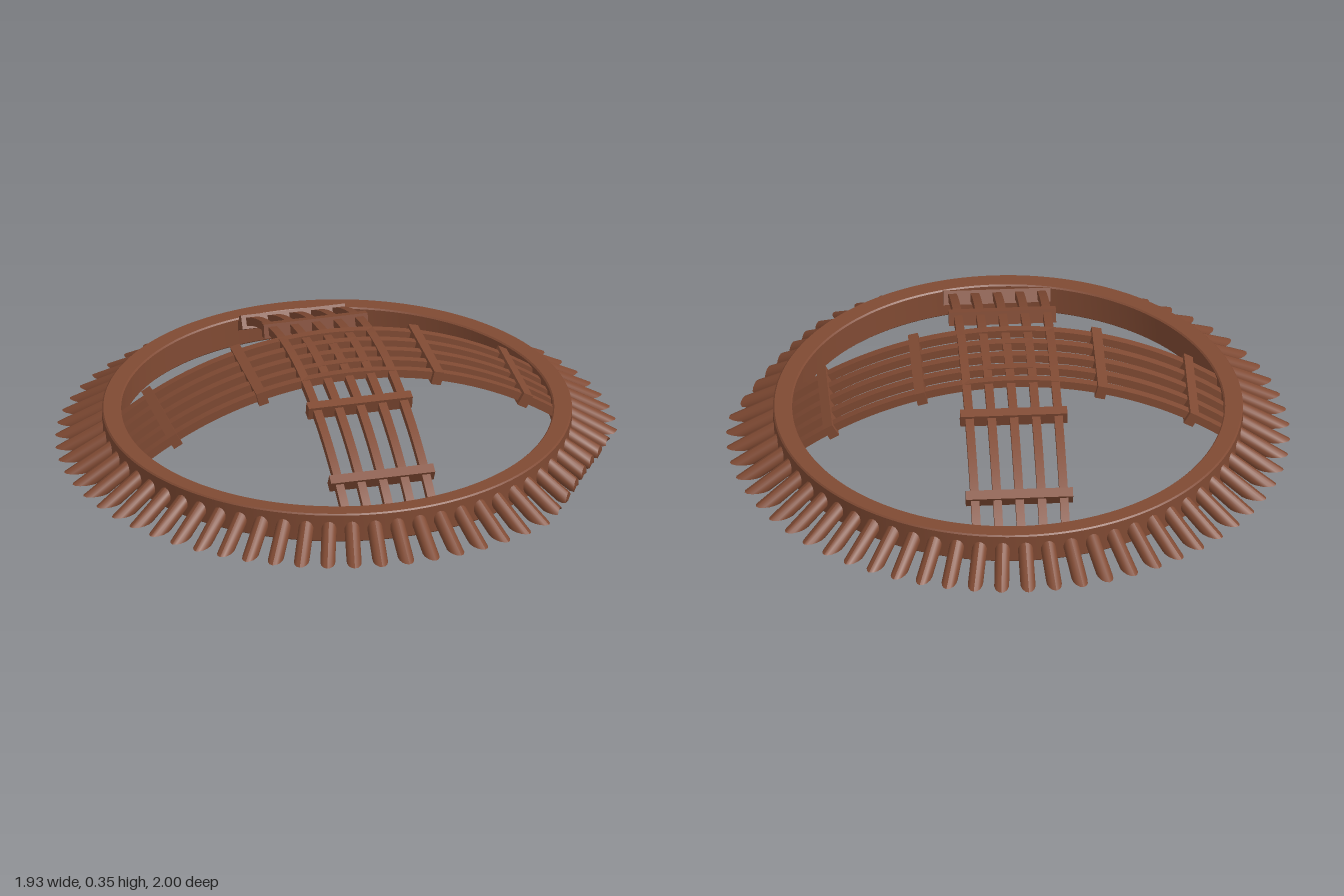
import * as THREE from 'three';
import { toCreasedNormals } from 'three/addons/utils/BufferGeometryUtils.js';

const CENTER_X = 0.035;      // ring centre
const CUT_X = 0.96;          // flat cut on the left-hand pegs
const ARC_R = 1.31, ARC_TOP = 0.352, SLAT = 0.03;
const material = new THREE.MeshStandardMaterial({ color: 0x804a33 });

function add(parent, name, geometry) {
  const mesh = new THREE.Mesh(geometry, material);
  mesh.name = name;
  parent.add(mesh);
  return mesh;
}

// Upright hoop with slightly eased edges
function ringGeometry() {
  const bevel = 0.005;
  const shape = new THREE.Shape().absarc(0, 0, 0.833 - bevel, 0, Math.PI * 2);
  shape.holes.push(new THREE.Path().absarc(0, 0, 0.765 + bevel, 0, Math.PI * 2, true));
  const g = new THREE.ExtrudeGeometry(shape, {
    depth: 0.11 - 2 * bevel, curveSegments: 96,
    bevelSize: bevel, bevelThickness: bevel, bevelSegments: 1,
  });
  g.rotateX(-Math.PI / 2).translate(0, 0.02 + bevel, 0);
  return toCreasedNormals(g, 0.5);
}

// Sloping round peg, its lower end sliced level with the ground
function pegGeometry(angle) {
  const slope = THREE.MathUtils.degToRad(31);
  const c = Math.cos(slope), s = Math.sin(slope);
  const out = new THREE.Vector3(Math.cos(angle), 0, Math.sin(angle));
  const side = new THREE.Vector3(out.z, 0, -out.x);
  const axis = out.clone().multiplyScalar(c).setY(-s);
  const normal = out.clone().multiplyScalar(s).setY(c);
  const start = out.clone().multiplyScalar(0.79).setY(0.095);
  const g = new THREE.CylinderGeometry(0.027, 0.027, 1, 14, 1);
  const pos = g.attributes.position;
  const p = new THREE.Vector3();
  for (let i = 0; i < pos.count; i++) {
    p.copy(start).addScaledVector(side, pos.getX(i)).addScaledVector(normal, pos.getZ(i));
    if (pos.getY(i) < 0) {
      let t = p.y / s;
      if (axis.x > 0.1) t = Math.min(t, (CUT_X - CENTER_X - p.x) / axis.x);
      p.addScaledVector(axis, t);
    }
    pos.setXYZ(i, p.x, p.y, p.z);
  }
  g.computeVertexNormals();
  return g;
}

// Curved slat along x, ending inside the hoop
function slatGeometry(offset) {
  const half = Math.asin(Math.sqrt(0.785 ** 2 - offset ** 2) / ARC_R);
  const a = Math.PI / 2 - half, b = Math.PI / 2 + half;
  const shape = new THREE.Shape();
  shape.absarc(0, 0, ARC_R, a, b, false);
  shape.absarc(0, 0, ARC_R - SLAT, b, a, true);
  const g = new THREE.ExtrudeGeometry(shape, { depth: SLAT, bevelEnabled: false, curveSegments: 32 });
  g.translate(0, ARC_TOP - ARC_R, offset - SLAT / 2);
  return toCreasedNormals(g, 0.5);
}

// Five slats tied together by four crossbars
function createArch() {
  const arch = new THREE.Group();
  for (let i = -2; i <= 2; i++) add(arch, 'slat', slatGeometry(i * 0.079));
  const r = ARC_R - SLAT / 2;
  for (const x of [-0.64, -0.32, 0.32, 0.64]) {
    const bar = add(arch, 'crossbar', new THREE.BoxGeometry(0.036, 0.05, 0.38));
    const tilt = Math.asin(x / r);
    bar.position.set(x, ARC_TOP - ARC_R + r * Math.cos(tilt), 0);
    bar.rotation.z = -tilt;
  }
  return arch;
}

export function createModel() {
  const model = new THREE.Group();
  model.name = 'archedRing';
  const body = new THREE.Group();
  body.name = 'body';
  body.position.x = CENTER_X;
  model.add(body);

  add(body, 'ring', ringGeometry());

  // Pegs around the hoop
  const pegs = new THREE.Group();
  pegs.name = 'pegs';
  body.add(pegs);
  const count = 64;
  for (let i = 0; i < count; i++) add(pegs, 'peg', pegGeometry(0.0185 + (i / count) * Math.PI * 2));

  // Two crossing arches
  for (let i = 0; i < 2; i++) {
    const arch = createArch();
    arch.name = i ? 'secondArch' : 'firstArch';
    arch.rotation.y = THREE.MathUtils.degToRad(32 + i * 90);
    body.add(arch);
  }
  return model;
}
